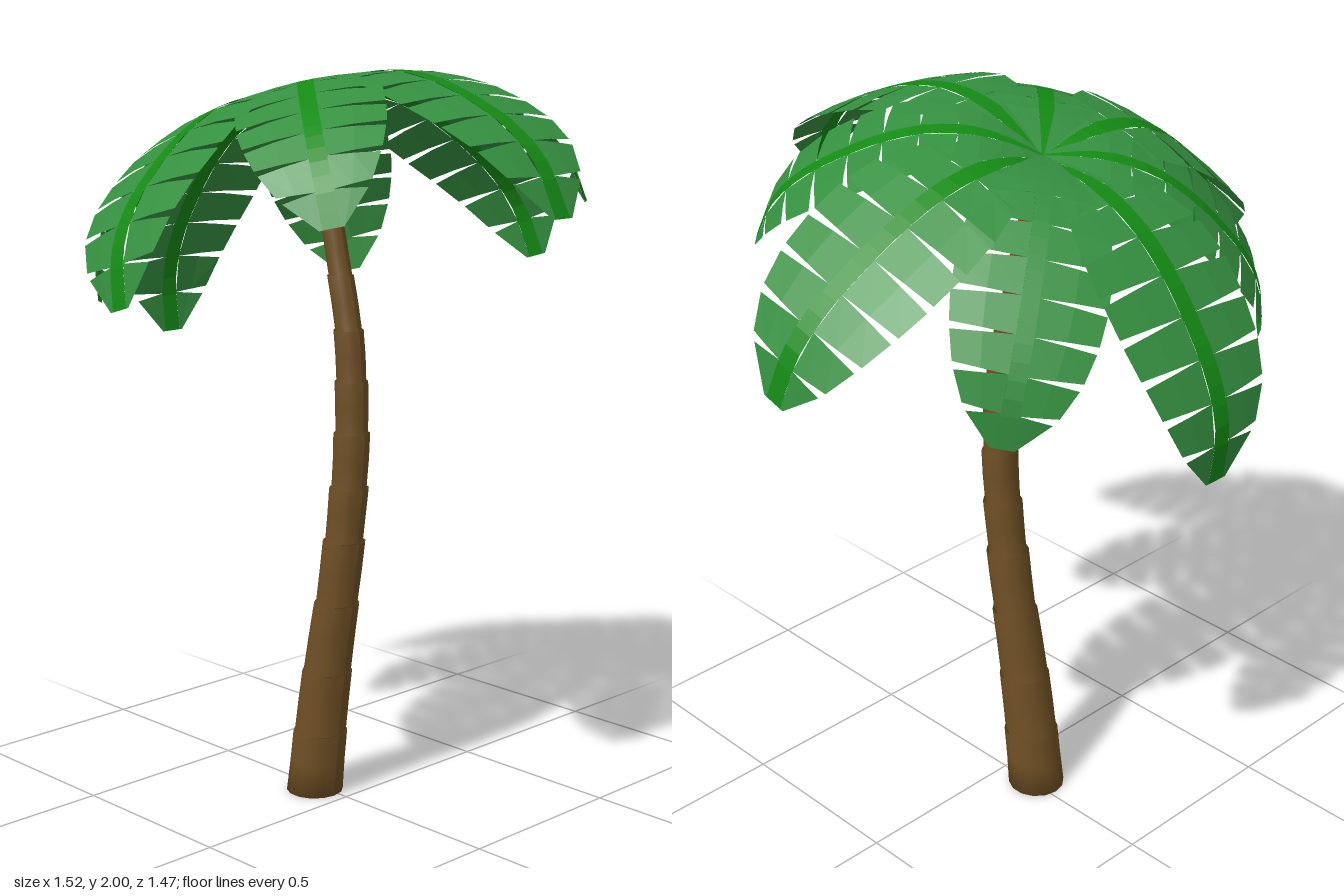
import * as THREE from 'three';

const trunkMat = new THREE.MeshStandardMaterial({ color: 0x6e4f24 });
const leafMat = new THREE.MeshStandardMaterial({ color: 0x359040, side: THREE.DoubleSide });
const ribMat = new THREE.MeshStandardMaterial({ color: 0x148a14, side: THREE.DoubleSide });

// Linear lookup in a list of [t, value] pairs
function lookup(table, t) {
  for (let i = 1; i < table.length; i++) {
    const [a, va] = table[i - 1], [b, vb] = table[i];
    if (t <= b) return va + (vb - va) * (t - a) / (b - a);
  }
  return table[table.length - 1][1];
}

// Leaning trunk: flared sections stacked along a curve
const trunkCurve = new THREE.CatmullRomCurve3([
  [-0.018, 0, -0.108], [-0.015, 0.2, -0.085], [-0.01, 0.4, -0.058], [-0.004, 0.6, -0.026],
  [0, 0.8, 0], [0.004, 1.0, 0.016], [0.003, 1.2, 0.016], [0, 1.32, 0.009],
  [-0.003, 1.5, -0.027], [-0.007, 1.7, -0.068], [-0.012, 1.9, -0.115],
].map(p => new THREE.Vector3(...p)));
const trunkRadius = [[0, 0.079], [0.2, 0.073], [0.5, 0.063], [0.8, 0.053], [1.0, 0.048],
  [1.2, 0.042], [1.35, 0.037], [1.6, 0.029], [1.9, 0.022]];

function makeTrunk() {
  const joints = [0, 0.18, 0.36, 0.56, 0.74, 0.89, 1.04, 1.18, 1.32, 1.46, 1.62, 1.78, 1.9];
  const samples = trunkCurve.getPoints(200);
  const at = y => samples.reduce((a, b) => Math.abs(b.y - y) < Math.abs(a.y - y) ? b : a);
  const sides = 14, pos = [], index = [];
  let rings = 0;
  const addRing = (c, r) => {
    for (let i = 0; i <= sides; i++) {
      const a = i / sides * Math.PI * 2;
      pos.push(c.x + Math.sin(a) * r, c.y, c.z + Math.cos(a) * r);
    }
    rings++;
  };
  addRing(at(0), 0.0001);
  for (let j = 1; j < joints.length; j++) {
    const y0 = joints[j - 1], y1 = joints[j];
    const flare = y1 > 0.7 ? 0.12 : 0.05;
    for (const k of [0, 0.5, 1]) {
      const y = y0 + (y1 - y0) * k;
      const bulge = y === 0 ? 1 : 1 + flare * (k - 0.5);
      addRing(at(y), lookup(trunkRadius, y) * bulge);
    }
  }
  addRing(at(1.9), 0.0001);
  for (let j = 0; j < rings - 1; j++) for (let i = 0; i < sides; i++) {
    const a = j * (sides + 1) + i, b = a + sides + 1;
    index.push(a, a + 1, b, a + 1, b + 1, b);
  }
  const g = new THREE.BufferGeometry();
  g.setAttribute('position', new THREE.Float32BufferAttribute(pos, 3));
  g.setIndex(index);
  g.computeVertexNormals();
  const mesh = new THREE.Mesh(g, trunkMat);
  mesh.name = 'trunk';
  return mesh;
}

// Arching spine of a frond: outward along z, drooping in y
const spine = new THREE.CatmullRomCurve3([
  [0, 0], [0.1, 0.026], [0.2, 0.036], [0.33, 0.014], [0.45, -0.042],
  [0.55, -0.112], [0.66, -0.212], [0.73, -0.32], [0.76, -0.462],
].map(([r, h]) => new THREE.Vector3(0, h, r)));
const halfWidth = [[0, 0.008], [0.25, 0.158], [0.35, 0.197], [0.45, 0.215], [0.62, 0.215],
  [0.75, 0.19], [0.86, 0.15], [0.95, 0.09], [1, 0.035]];
const ribWidth = [[0, 0.004], [0.2, 0.024], [1, 0.026]];
const rw = u => lookup(ribWidth, u);
const hw = u => lookup(halfWidth, u);

// Point on the frond: nearly flat, edges curling slightly below the spine
function point(u, w) {
  const p = spine.getPointAt(u), t = spine.getTangentAt(u), curl = 0.45 * w * w;
  return [w, p.y - t.z * curl, p.z + t.y * curl];
}

function quadMesh(quads, material, name) {
  const pos = [];
  for (const [a, b, c, d] of quads) pos.push(...a, ...b, ...c, ...a, ...c, ...d);
  const g = new THREE.BufferGeometry();
  g.setAttribute('position', new THREE.Float32BufferAttribute(pos, 3));
  g.computeVertexNormals();
  const mesh = new THREE.Mesh(g, material);
  mesh.name = name;
  return mesh;
}

function makeFrond(hasGreenRib) {
  const frond = new THREE.Group();
  const blade = [], rib = [];
  // Leaf piece in two spans: inner edge u0..u1 along the rib, outer edge v0..v1
  const strip = (u0, u1, v0, v1, s) => {
    const edge = (u, v, k) => point(u + (v - u) * k, s * (rw(u) + (hw(v) - rw(u)) * k));
    for (const k of [0, 0.5]) {
      const q = [edge(u0, v0, k), edge(u1, v1, k), edge(u1, v1, k + 0.5), edge(u0, v0, k + 0.5)];
      blade.push(s > 0 ? q : q.reverse());
    }
  };
  for (const s of [1, -1]) {
    // Solid wedge near the crown
    for (let i = 0; i < 4; i++) strip(i * 0.0625, (i + 1) * 0.0625, i * 0.0625, (i + 1) * 0.0625, s);
    // Leaflets separated by tapering gaps
    const n = 7, step = 0.75 / n;
    for (let i = 0; i < n; i++) {
      const a = 0.25 + i * step, b = i === n - 1 ? 1 : a + step;
      strip(a, b, a + step * 0.12, i === n - 1 ? 1 : b - step * 0.08, s);
    }
  }
  // Midrib
  for (let i = 0; i < 20; i++) {
    const a = i / 20, b = (i + 1) / 20;
    rib.push([point(a, -rw(a)), point(b, -rw(b)), point(b, rw(b)), point(a, rw(a))]);
  }
  frond.add(quadMesh(blade, leafMat, 'leaflets'));
  frond.add(quadMesh(rib, hasGreenRib ? ribMat : leafMat, 'midrib'));
  return frond;
}

export function createModel() {
  const palm = new THREE.Group();
  palm.name = 'palmTree';
  palm.add(makeTrunk());

  // Crown tilted backwards; every second frond is smaller and sits a little higher
  const crown = new THREE.Group();
  crown.name = 'crown';
  crown.position.set(-0.006, 1.895, -0.12);
  crown.rotation.x = -0.29;
  for (let i = 0; i < 8; i++) {
    const small = i % 2 === 1;
    const frond = makeFrond(i !== 3);
    frond.name = 'frond' + (i + 1);
    frond.position.y = small ? 0.012 : 0;
    frond.rotation.y = i * Math.PI / 4;
    frond.scale.setScalar(small ? 0.86 : 1);
    crown.add(frond);
  }
  palm.add(crown);
  return palm;
}
